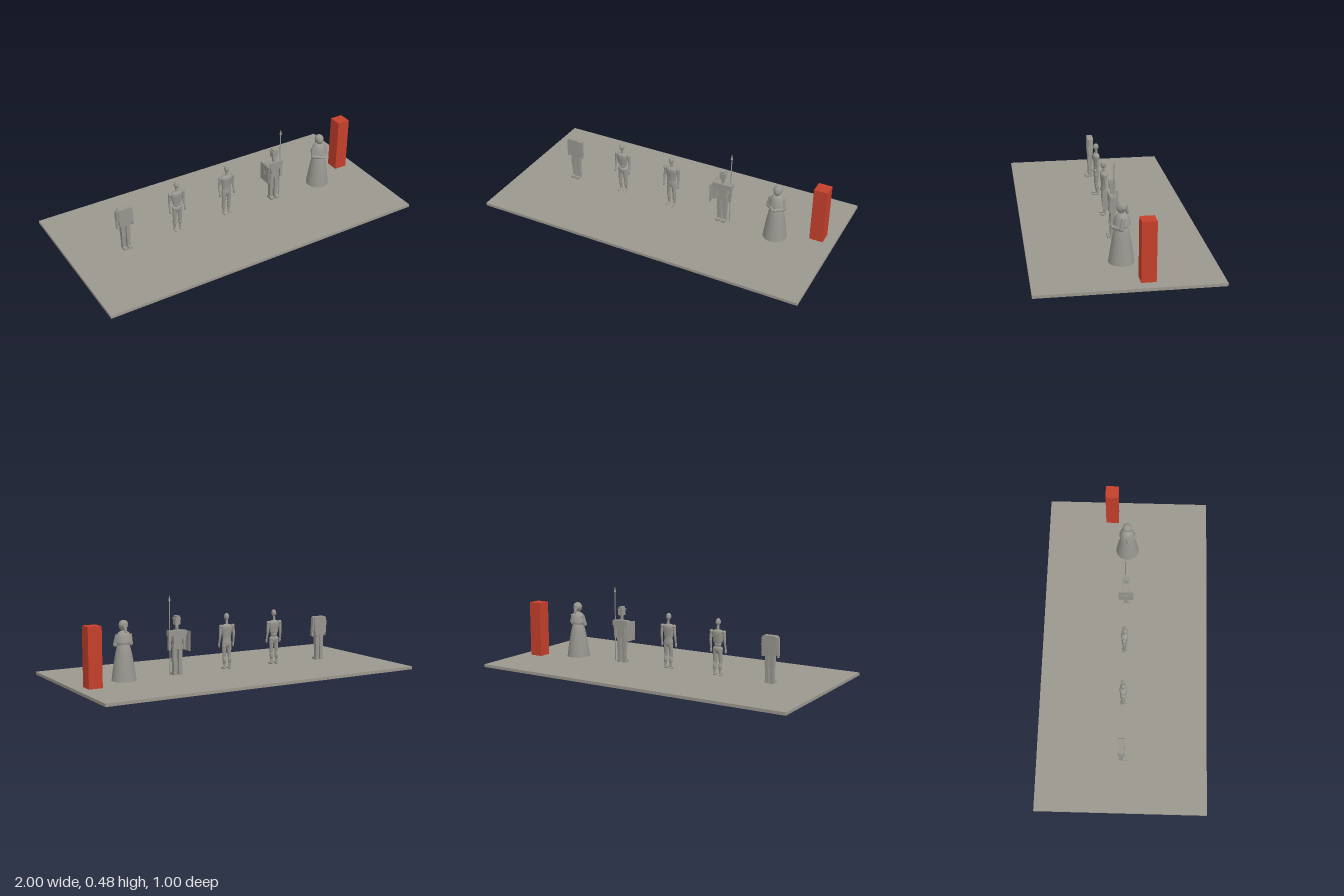
import * as THREE from 'three';

const mat = (name, color, side = THREE.FrontSide) => Object.assign(new THREE.MeshStandardMaterial({ color, side }), { name });

export function createModel() {
  const stone = mat('stone grey', 0x9b978e);
  const clay = mat('figure grey', 0x97958e, THREE.DoubleSide);
  const red = mat('red', 0xc43f2b);
  const FLOOR = 0.017;
  const model = new THREE.Group();
  model.name = 'figureDisplay';

  const add = (parent, name, geo, x, y, z, m = clay) => {
    const mesh = new THREE.Mesh(geo, m);
    mesh.name = name;
    mesh.position.set(x, y, z);
    parent.add(mesh);
    return mesh;
  };
  const box = (p, name, w, h, d, x, y, z, m) => add(p, name, new THREE.BoxGeometry(w, h, d), x, y, z, m);
  const ball = (p, name, rx, ry, rz, x, y, z) => {
    const b = add(p, name, new THREE.SphereGeometry(1, 20, 14), x, y, z);
    b.scale.set(rx, ry, rz);
    return b;
  };
  // tapered limb between two points
  const limb = (p, name, a, b, ra, rb) => {
    const A = new THREE.Vector3(...a), B = new THREE.Vector3(...b);
    const dir = B.clone().sub(A);
    const c = A.clone().add(B).multiplyScalar(0.5);
    const l = add(p, name, new THREE.CylinderGeometry(rb, ra, dir.length(), 14), c.x, c.y, c.z);
    l.quaternion.setFromUnitVectors(new THREE.Vector3(0, 1, 0), dir.normalize());
    return l;
  };
  // smooth body turned from [radius, height] points, flattened in depth
  const turned = (p, name, pts, depth, z = 0) => {
    const curve = new THREE.SplineCurve(pts.map(([r, y]) => new THREE.Vector2(r, y)));
    const t = add(p, name, new THREE.LatheGeometry(curve.getPoints(24), 28), 0, 0, z);
    t.scale.z = depth;
    return t;
  };
  const figure = (name, x) => {
    const g = new THREE.Group();
    g.name = name;
    g.position.x = x;
    model.add(g);
    return g;
  };

  box(model, 'base', 2, FLOOR, 1, 0, FLOOR / 2, 0, stone);
  box(model, 'redPillar', 0.08, 0.335, 0.08, 0.896, FLOOR + 0.1675, -0.1, red);

  // headless block figure
  const block = figure('blockFigure', -0.667);
  const outline = new THREE.Shape([[-0.034, 0.175], [0.034, 0.175], [0.039, 0.2], [0.041, 0.28],
    [0.036, 0.288], [-0.036, 0.288], [-0.041, 0.28], [-0.039, 0.2]].map(([x, y]) => new THREE.Vector2(x, y)));
  add(block, 'torso', new THREE.ExtrudeGeometry(outline, { depth: 0.036, bevelEnabled: false }), 0, 0, -0.02);
  for (const s of [-1, 1]) {
    box(block, 'upperArm', 0.012, 0.05, 0.022, s * 0.045, 0.255, -0.002).rotation.z = s * 0.06;
    box(block, 'forearm', 0.011, 0.045, 0.018, s * 0.047, 0.207, 0).rotation.z = s * 0.04;
    box(block, 'hand', 0.009, 0.022, 0.016, s * 0.047, 0.176, 0.002);
    box(block, 'thigh', 0.024, 0.075, 0.028, s * 0.015, 0.138, -0.002);
    box(block, 'shin', 0.02, 0.07, 0.024, s * 0.015, 0.065, -0.003);
    box(block, 'foot', 0.022, 0.014, 0.046, s * 0.015, FLOOR + 0.007, 0.007);
  }

  // jointed mannequins: one with a segmented torso, one with a smooth torso
  const mannequin = (name, x, segmented) => {
    const g = figure(name, x);
    ball(g, 'head', 0.0145, 0.021, 0.017, 0, 0.33, 0.002);
    limb(g, 'neck', [0, 0.28, -0.002], [0, 0.315, 0], 0.008, 0.007);
    if (segmented) {
      turned(g, 'chest', [[0.001, 0.205], [0.025, 0.208], [0.032, 0.235], [0.037, 0.262], [0.032, 0.28], [0.001, 0.289]], 0.55);
      ball(g, 'abdomen', 0.022, 0.017, 0.016, 0, 0.2, 0);
      turned(g, 'pelvis', [[0.001, 0.147], [0.022, 0.153], [0.031, 0.17], [0.026, 0.185], [0.001, 0.19]], 0.62);
    } else {
      turned(g, 'torso', [[0.001, 0.148], [0.024, 0.155], [0.031, 0.173], [0.027, 0.2], [0.032, 0.235],
        [0.038, 0.265], [0.03, 0.281], [0.001, 0.289]], 0.56);
    }
    for (const s of [-1, 1]) {
      ball(g, 'shoulder', 0.011, 0.012, 0.012, s * 0.041, 0.273, -0.002);
      limb(g, 'upperArm', [s * 0.042, 0.272, -0.002], [s * 0.046, 0.222, -0.004], 0.009, 0.0075);
      ball(g, 'elbow', 0.0078, 0.008, 0.008, s * 0.046, 0.222, -0.004);
      limb(g, 'forearm', [s * 0.046, 0.222, -0.004], [s * 0.048, 0.175, 0.004], 0.0078, 0.005);
      ball(g, 'hand', 0.0055, 0.015, 0.009, s * 0.048, 0.162, 0.007);
      ball(g, 'hip', 0.014, 0.014, 0.015, s * 0.016, 0.157, 0);
      limb(g, 'thigh', [s * 0.016, 0.158, 0], [s * 0.018, 0.095, 0.001], 0.0145, 0.01);
      ball(g, 'knee', 0.0102, 0.0105, 0.0105, s * 0.018, 0.094, 0.001);
      ball(g, 'calf', 0.0105, 0.024, 0.012, s * 0.018, 0.072, -0.003);
      limb(g, 'shin', [s * 0.018, 0.094, 0], [s * 0.018, 0.028, -0.005], 0.0095, 0.006);
      ball(g, 'foot', 0.009, 0.0075, 0.022, s * 0.019, FLOOR + 0.0075, 0.007);
    }
  };
  mannequin('jointedMannequin', -0.333, true);
  mannequin('smoothMannequin', 0, false);

  // boxy guard with shield and spear
  const guard = figure('guardFigure', 0.333);
  box(guard, 'head', 0.032, 0.042, 0.034, 0, 0.328, 0);
  box(guard, 'helmetBrim', 0.038, 0.005, 0.04, 0, 0.342, 0);
  box(guard, 'helmetTop', 0.022, 0.009, 0.036, 0, 0.354, 0);
  box(guard, 'neck', 0.014, 0.04, 0.016, 0, 0.29, 0);
  box(guard, 'chest', 0.066, 0.05, 0.04, 0, 0.25, 0);
  box(guard, 'waist', 0.052, 0.04, 0.034, 0, 0.207, 0);
  box(guard, 'hips', 0.06, 0.024, 0.036, 0, 0.18, 0);
  for (const s of [-1, 1]) {
    box(guard, 'shoulderPlate', 0.024, 0.03, 0.034, s * 0.046, 0.258, 0);
    box(guard, 'upperArm', 0.016, 0.05, 0.02, s * 0.047, 0.24, 0);
    box(guard, 'forearm', 0.015, 0.044, 0.019, s * 0.047, 0.197, 0.003);
    box(guard, 'hand', 0.013, 0.02, 0.018, s * 0.047, 0.17, 0.005);
    box(guard, 'thigh', 0.023, 0.066, 0.027, s * 0.017, 0.137, 0);
    box(guard, 'kneePlate', 0.024, 0.016, 0.03, s * 0.017, 0.101, 0.001);
    box(guard, 'shin', 0.02, 0.066, 0.023, s * 0.017, 0.062, -0.002);
    box(guard, 'foot', 0.023, 0.014, 0.046, s * 0.018, FLOOR + 0.007, 0.007);
  }
  box(guard, 'shield', 0.007, 0.115, 0.09, -0.061, 0.212, 0);
  box(guard, 'shieldBoss', 0.006, 0.02, 0.02, -0.066, 0.212, 0);
  limb(guard, 'spearShaft', [0.047, FLOOR, -0.004], [0.047, 0.447, -0.004], 0.003, 0.003);
  add(guard, 'spearTip', new THREE.ConeGeometry(0.0075, 0.036, 8), 0.047, 0.462, -0.004);

  // woman in a long skirt with a shawl and folded arms
  const lady = figure('skirtedFigure', 0.667);
  turned(lady, 'skirt', [[0.069, FLOOR], [0.062, 0.07], [0.053, 0.13], [0.044, 0.18], [0.036, 0.21], [0.03, 0.225]], 1.02);
  turned(lady, 'bodice', [[0.033, 0.21], [0.037, 0.235], [0.038, 0.26], [0.028, 0.285], [0.012, 0.295]], 0.95);
  turned(lady, 'shawl', [[0.05, 0.235], [0.046, 0.252], [0.038, 0.275], [0.026, 0.29], [0.011, 0.297]], 0.95, -0.003);
  limb(lady, 'neck', [0, 0.285, 0], [0, 0.312, 0], 0.012, 0.01);
  ball(lady, 'head', 0.023, 0.029, 0.025, 0, 0.325, 0.003);
  ball(lady, 'hair', 0.0265, 0.027, 0.028, 0, 0.33, -0.003);
  const tail = limb(lady, 'hairTail', [0, 0.335, -0.018], [0, 0.289, -0.034], 0.015, 0.005);
  tail.scale.x = 1.1;
  for (const s of [-1, 1]) {
    limb(lady, 'upperArm', [s * 0.039, 0.275, -0.003], [s * 0.047, 0.222, 0.006], 0.011, 0.0125);
    ball(lady, 'elbow', 0.0125, 0.013, 0.0135, s * 0.047, 0.221, 0.006);
    limb(lady, 'forearm', [s * 0.047, 0.22, 0.006], [s * 0.008, 0.219, 0.043], 0.0125, 0.01);
    ball(lady, 'hand', 0.013, 0.009, 0.01, s * 0.006, 0.219, 0.045);
  }
  return model;
}
